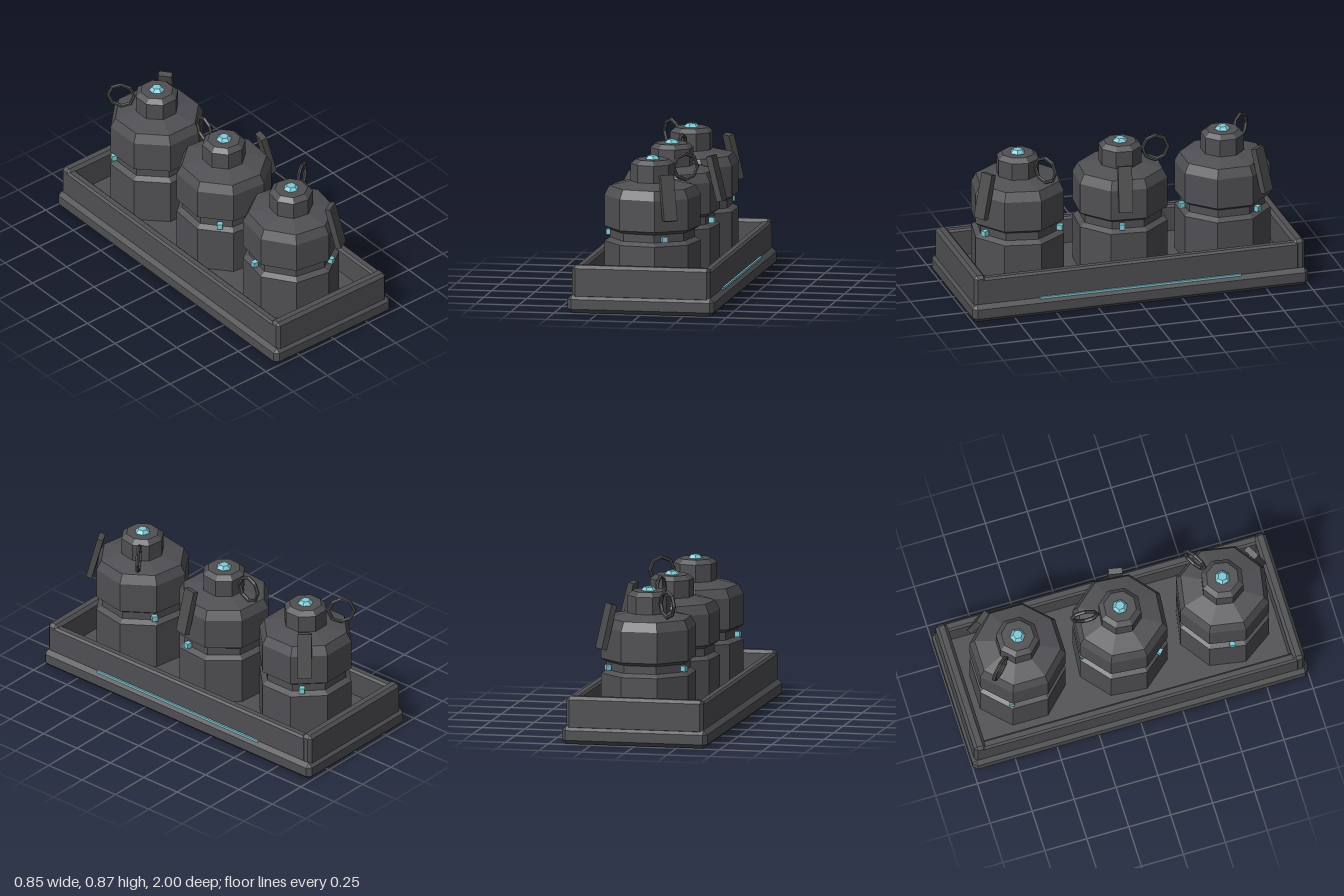
import * as THREE from 'three';
import { ConvexGeometry } from 'three/addons/geometries/ConvexGeometry.js';

const DEG = Math.PI / 180;

function material(name, color) {
  const m = new THREE.MeshStandardMaterial({ color });
  m.name = name;
  return m;
}

// Faceted copy of a smooth geometry
function faceted(geometry) {
  const g = geometry.toNonIndexed();
  g.computeVertexNormals();
  return g;
}

// Faceted lathe; points are [radius, height] from bottom to top
function turned(points, sides, phi) {
  const pts = points.map(([r, y]) => new THREE.Vector2(r, y));
  return faceted(new THREE.LatheGeometry(pts, sides, phi, Math.PI * 2));
}

// Box with every edge cut at 45 degrees
function chamferBox(w, h, d, c) {
  const pts = [];
  for (const x of [-1, 1]) for (const y of [-1, 1]) for (const z of [-1, 1]) {
    for (let k = 0; k < 3; k++) {
      pts.push(new THREE.Vector3(
        x * (w / 2 - (k === 0 ? 0 : c)),
        y * (h / 2 - (k === 1 ? 0 : c)),
        z * (d / 2 - (k === 2 ? 0 : c))));
    }
  }
  return new ConvexGeometry(pts);
}

export function createModel() {
  const dark = material('dark casing', 0x505054);
  const metal = material('dark metal', 0x4c4c4d);
  const cyan = material('pale cyan', 0x80cbd8);
  const model = new THREE.Group();
  model.name = 'canisterTray';

  function add(parent, name, geometry, mat, x = 0, y = 0, z = 0) {
    const mesh = new THREE.Mesh(geometry, mat);
    mesh.name = name;
    mesh.position.set(x, y, z);
    parent.add(mesh);
    return mesh;
  }

  // Tray: base slab, four walls and one light strip
  add(model, 'trayBase', chamferBox(0.85, 0.104, 2, 0.024), dark, 0, 0.052, 0);
  for (const s of [-1, 1]) {
    add(model, 'sideWall', chamferBox(0.055, 0.18, 1.9, 0.012), dark, s * 0.373, 0.17, 0);
    add(model, 'endWall', chamferBox(0.8, 0.195, 0.07, 0.018), dark, 0, 0.177, s * 0.95);
  }
  add(model, 'lightStrip', new THREE.BoxGeometry(0.012, 0.012, 1.2), cyan, 0.405, 0.104, 0);

  // Geometry shared by the three canisters
  const phi = 12.5 * DEG;
  const bodyGeo = turned([[0, 0.09], [0.275, 0.09], [0.275, 0.375], [0.243, 0.395], [0.243, 0.44],
    [0.275, 0.46], [0.275, 0.64], [0.247, 0.693], [0.125, 0.72], [0, 0.72]], 8, phi);
  const neckGeo = turned([[0.125, 0.7], [0.125, 0.82], [0.095, 0.845], [0, 0.845]], 8, phi);
  const buttonGeo = turned([[0.045, 0.84], [0.045, 0.846], [0.027, 0.865], [0, 0.865]], 6, phi);
  const leverGeo = new THREE.BoxGeometry(0.08, 0.265, 0.035);
  const ringGeo = faceted(new THREE.TorusGeometry(0.074, 0.011, 6, 8));
  const lampGeo = new THREE.BoxGeometry(0.032, 0.032, 0.032);

  for (let i = 0; i < 3; i++) {
    const canister = new THREE.Group();
    canister.name = 'canister';
    canister.position.z = 0.61 * (1 - i);
    canister.rotation.y = i * 50 * DEG;
    model.add(canister);

    // Places a part at an angle around the canister
    const around = (name, geo, mat, angle, r, y) => {
      const a = angle * DEG;
      const mesh = add(canister, name, geo, mat, Math.sin(a) * r, y, Math.cos(a) * r);
      mesh.rotation.order = 'YXZ';
      mesh.rotation.y = a;
      return mesh;
    };

    add(canister, 'body', bodyGeo, dark);
    add(canister, 'neck', neckGeo, dark);
    add(canister, 'button', buttonGeo, cyan);
    around('lever', leverGeo, metal, 29.5, 0.272, 0.655).rotation.x = -0.25;
    around('pullRing', ringGeo, metal, 124, 0.205, 0.787).rotation.y += Math.PI / 2;
    for (let k = 0; k < 3; k++) around('grooveLamp', lampGeo, cyan, 26 + k * 120, 0.253, 0.416);
  }
  return model;
}
